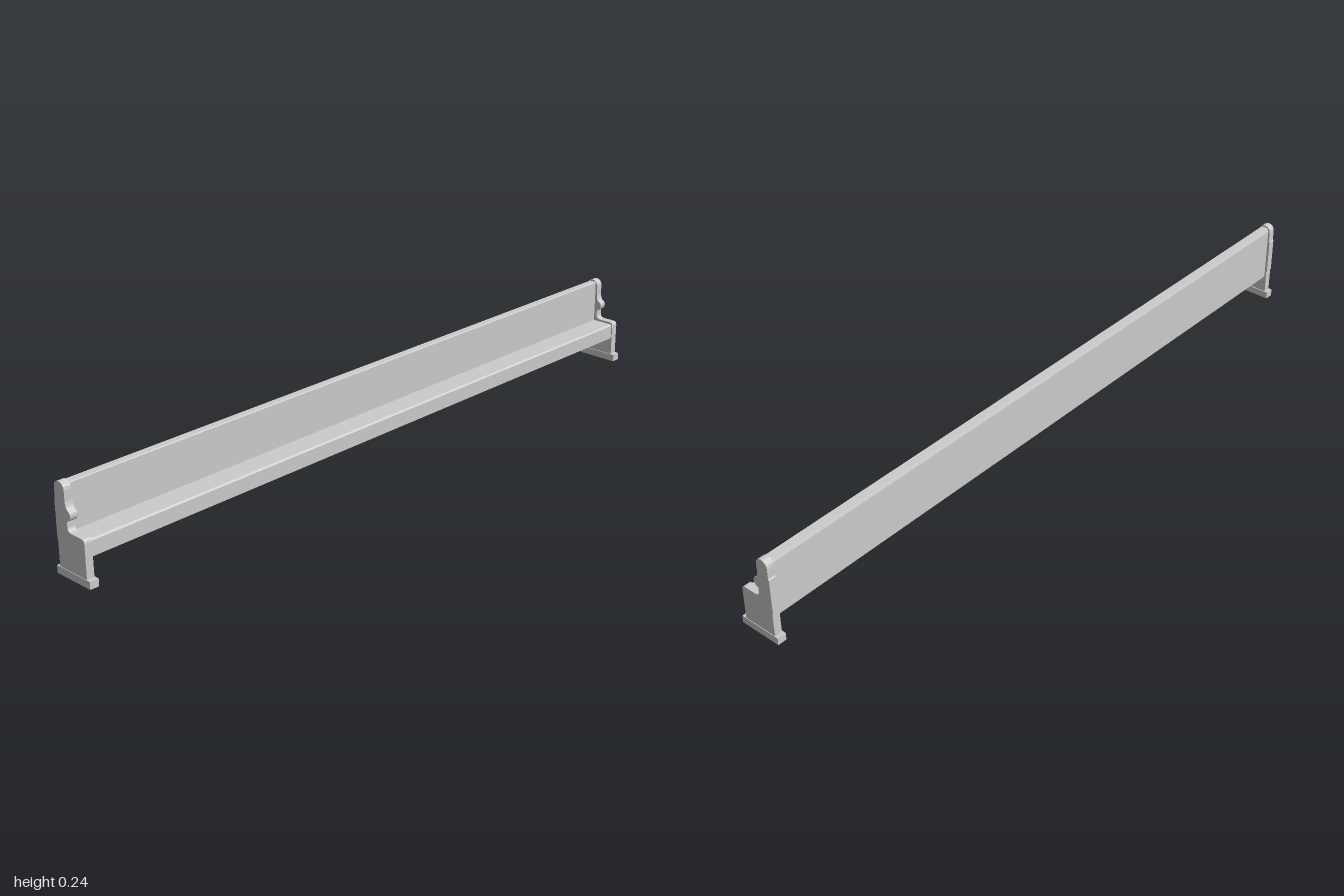
import * as THREE from 'three';

const material = new THREE.MeshStandardMaterial({ color: 0xcccccc, flatShading: true });

// Extrudes an x-y shape along z, centred on z = 0
function extrudeZ(name, shape, depth) {
  const geometry = new THREE.ExtrudeGeometry(shape, { depth, bevelEnabled: false, curveSegments: 8 });
  geometry.translate(0, 0, -depth / 2);
  const mesh = new THREE.Mesh(geometry, material);
  mesh.name = name;
  return mesh;
}

function polygon(points) {
  return new THREE.Shape(points.map(([x, y]) => new THREE.Vector2(x, y)));
}

// Carved side silhouette: rounded armrest scroll and domed top
function endPanelShape() {
  const s = new THREE.Shape();
  s.moveTo(-0.05, 0.02);
  s.lineTo(0.048, 0.02);
  s.lineTo(0.048, 0.107);
  s.quadraticCurveTo(0.048, 0.119, 0.038, 0.119);
  s.lineTo(0.003, 0.119);
  s.quadraticCurveTo(-0.011, 0.12, -0.011, 0.131);
  s.lineTo(-0.011, 0.145);
  s.bezierCurveTo(-0.003, 0.148, 0.002, 0.152, 0.002, 0.162);
  s.quadraticCurveTo(0.002, 0.17, -0.005, 0.173);
  s.quadraticCurveTo(-0.012, 0.176, -0.014, 0.194);
  s.lineTo(-0.014, 0.22);
  s.bezierCurveTo(-0.014, 0.244, -0.05, 0.244, -0.05, 0.22);
  s.lineTo(-0.05, 0.19);
  s.lineTo(-0.052, 0.188);
  s.lineTo(-0.052, 0.09);
  s.lineTo(-0.05, 0.088);
  return s;
}

export function createModel() {
  const model = new THREE.Group();
  model.name = 'longBench';

  // Seat and back run the full length between the ends
  model.add(extrudeZ('seat', polygon([
    [-0.02, 0.07], [0.045, 0.07], [0.045, 0.109], [0.041, 0.113], [-0.02, 0.113],
  ]), 1.956));
  model.add(extrudeZ('backrest', polygon([
    [-0.045, 0.07], [-0.02, 0.07], [-0.02, 0.231], [-0.022, 0.233], [-0.041, 0.233], [-0.045, 0.222],
  ]), 1.956));

  // Mirrored end panels on plinths
  for (const side of [1, -1]) {
    const end = new THREE.Group();
    end.name = side > 0 ? 'frontEnd' : 'backEnd';
    const panel = extrudeZ('endPanel', endPanelShape(), 0.021);
    panel.position.z = side * 0.988;
    const foot = new THREE.Mesh(new THREE.BoxGeometry(0.12, 0.02, 0.025), material);
    foot.name = 'foot';
    foot.position.set(0, 0.01, side * 0.9875);
    end.add(panel, foot);
    model.add(end);
  }
  return model;
}
